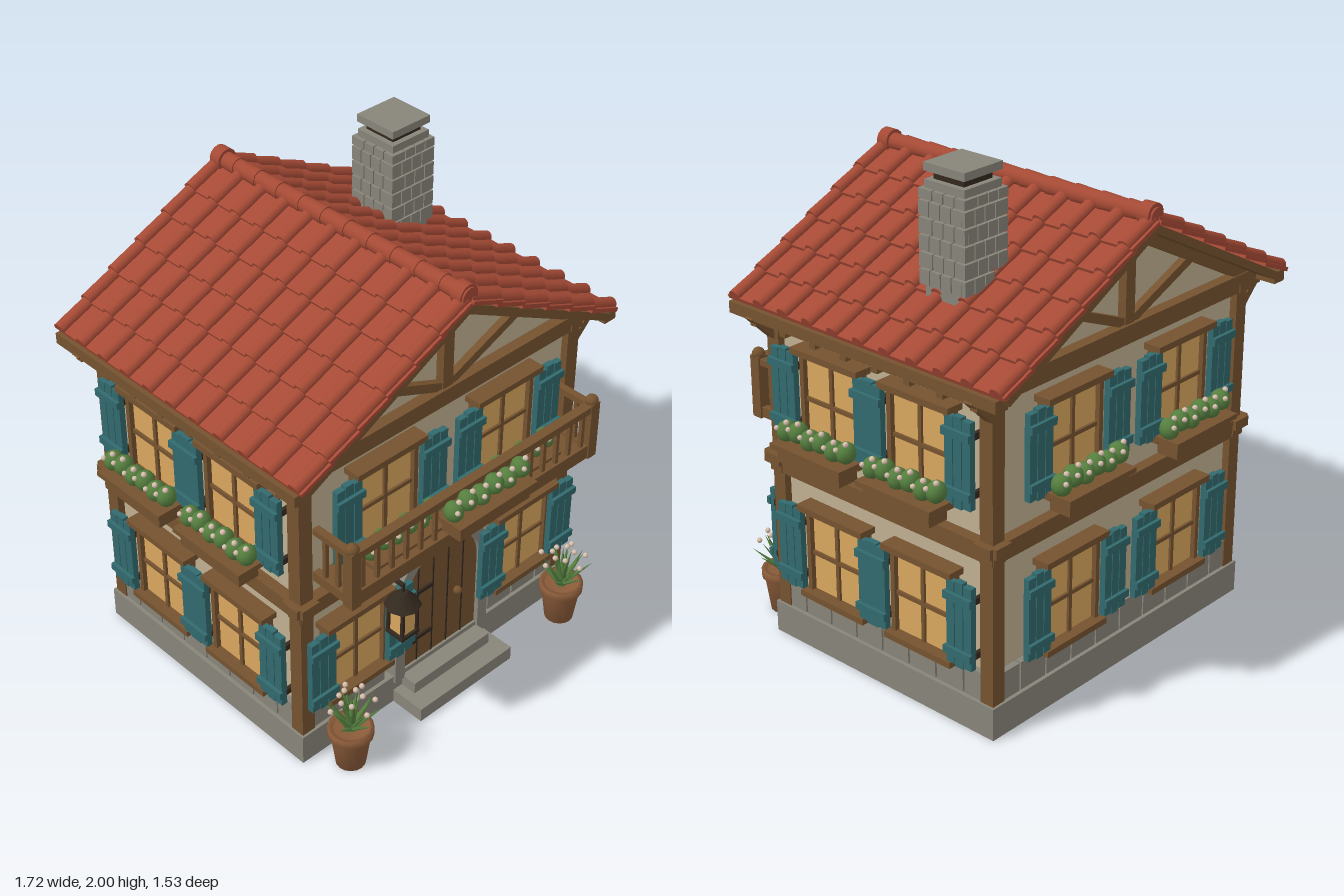
import * as THREE from 'three';

const material = (name, color) => Object.assign(new THREE.MeshStandardMaterial({ color }), { name });
const plaster = material('plaster', 0xc0b092), timber = material('timber', 0x76532f);
const tile = material('roof tile', 0xa54a35), stone = material('stone', 0x88857a);
const iron = material('dark iron', 0x33291f), glass = material('lit glass', 0xd9a75e);
const teal = material('teal paint', 0x326a6e), leaf = material('leaf', 0x557f3f);
const blossom = material('blossom', 0xd8bfae), clay = material('clay', 0x8c5c3a);

function add(parent, name, geometry, mat, x = 0, y = 0, z = 0) {
  const m = new THREE.Mesh(geometry, mat);
  m.name = name;
  m.position.set(x, y, z);
  parent.add(m);
  return m;
}
const box = (p, name, mat, w, h, d, x, y, z) => add(p, name, new THREE.BoxGeometry(w, h, d), mat, x, y, z);
const ball = (p, name, mat, r, x, y, z) => add(p, name, new THREE.SphereGeometry(r, 10, 8), mat, x, y, z);
const group = (p, name, x = 0, y = 0, z = 0, ry = 0) => {
  const g = new THREE.Group();
  g.name = name;
  g.position.set(x, y, z);
  g.rotation.y = ry;
  p.add(g);
  return g;
};
// Timber between two points of an xy plane
function beam(p, name, x1, y1, x2, y2, t, d, z) {
  const m = box(p, name, timber, Math.hypot(x2 - x1, y2 - y1), t, d, (x1 + x2) / 2, (y1 + y2) / 2, z);
  m.rotation.z = Math.atan2(y2 - y1, x2 - x1);
}

function shutter(p, x, y) {
  const g = group(p, 'shutter', x, y, 0.06);
  for (const i of [-1, 0, 1]) box(g, 'shutterPlank', teal, 0.037, i ? 0.33 : 0.345, 0.025, i * 0.041, 0, 0);
  for (const s of [-1, 1]) {
    box(g, 'shutterBatten', teal, 0.13, 0.03, 0.015, 0, s * 0.11, 0.019);
    box(g, 'shutterHinge', iron, 0.015, 0.025, 0.04, 0.055, s * 0.11, -0.03);
  }
}

function flowerBox(p, x, y, z, width) {
  const g = group(p, 'flowerBox', x, y, z);
  box(g, 'planter', timber, width - 0.04, 0.07, 0.09, 0, 0.035, 0);
  box(g, 'planterRim', timber, width, 0.02, 0.125, 0, 0.065, 0);
  const n = 6, step = (width + 0.01) / n;
  for (let i = 0; i < n; i++) {
    const u = (i - (n - 1) / 2) * step, h = 0.11 + 0.012 * (i % 2);
    ball(g, 'bush', leaf, 0.038, u, h, 0).scale.set(0.95, 1.1, 1.05);
    ball(g, 'flower', blossom, 0.011, u + 0.012, h + 0.04, 0.012);
    ball(g, 'flower', blossom, 0.01, u - 0.016, h + 0.018, 0.034);
  }
}

function windowUnit(p, x, y, offset, planted) {
  const g = group(p, 'window', x, y, 0);
  box(g, 'glass', glass, 0.27, 0.34, 0.03, 0, 0, 0.01);
  for (const s of [-1, 1]) {
    box(g, 'frameSide', timber, 0.02, 0.35, 0.05, s * 0.14, 0, 0.02);
    shutter(g, s * offset, 0.005);
  }
  box(g, 'mullion', timber, 0.016, 0.34, 0.03, 0, 0, 0.02);
  box(g, 'crossBar', timber, 0.27, 0.016, 0.03, 0, -0.01, 0.02);
  box(g, 'lintel', timber, 0.34, 0.025, 0.075, 0, 0.18, 0.035);
  box(g, 'sill', timber, 0.33, 0.025, 0.075, 0, -0.18, 0.035);
  if (planted) flowerBox(g, 0, -0.228, 0.115, 0.36);
}

// One wall: local z = 0 is the plaster face
function facade(p, name, half, x, z, ry, lower, upper, offset, doorway) {
  const g = group(p, name, x, 0, z, ry);
  for (const s of [-1, 1]) {
    windowUnit(g, s * lower, 0.43, doorway ? 0.195 : offset, false);
    windowUnit(g, s * upper, 1.063, offset, true);
  }
  const n = Math.round(half * 14.5), pitch = (2 * half) / n;
  for (let i = 0; i < n; i++) {
    const u = (i + 0.5) * pitch - half;
    if (!doorway || Math.abs(u) > 0.22) box(g, 'stoneBlock', stone, pitch - 0.008, 0.115, 0.05, u, 0.187, 0);
  }
  box(g, 'lowerBand', timber, 2 * half + 0.04, 0.035, 0.06, 0, 0.718, 0.005);
  box(g, 'upperBand', timber, 2 * half + 0.08, 0.04, 0.08, 0, 0.758, 0.005);
  box(g, 'topPlate', timber, 2 * half + 0.04, 0.035, 0.06, 0, 1.32, 0.005);
  return g;
}

function archShape(r, base, spring) {
  const s = new THREE.Shape();
  s.moveTo(-r, base);
  s.lineTo(r, base);
  s.lineTo(r, spring);
  s.absarc(0, spring, r, 0, Math.PI, false);
  s.closePath();
  return s;
}
const extrude = (shape, depth) => new THREE.ExtrudeGeometry(shape, { depth, bevelEnabled: false, curveSegments: 10 });

function door(p) {
  const g = group(p, 'entrance');
  const surround = archShape(0.25, 0.1, 0.475);
  surround.holes.push(archShape(0.2, 0.11, 0.475));
  add(g, 'doorArch', extrude(surround, 0.06), stone, 0, 0, -0.01);
  add(g, 'doorLeaf', extrude(archShape(0.2, 0.11, 0.475), 0.03), timber);
  for (const u of [-0.12, -0.04, 0.04, 0.12]) {
    const top = 0.475 + Math.sqrt(0.04 - u * u);
    box(g, 'plankJoint', iron, 0.006, top - 0.11, 0.004, u, (top + 0.11) / 2, 0.031);
  }
  for (const y of [0.25, 0.48]) {
    box(g, 'doorHinge', iron, 0.1, 0.016, 0.01, -0.1, y, 0.035);
    box(g, 'hingePlate', iron, 0.02, 0.04, 0.01, -0.14, y, 0.035);
  }
  ball(g, 'doorKnob', timber, 0.018, 0.085, 0.37, 0.045);
  box(g, 'lowerStep', stone, 0.5, 0.06, 0.2, 0, 0.03, 0.09);
  box(g, 'upperStep', stone, 0.41, 0.05, 0.12, 0, 0.085, 0.05);
}

function roof(p) {
  const g = group(p, 'roof', 0, 1.775, -0.073);
  const L = 0.88, angle = Math.atan2(0.405, 0.78), half = 0.672, rows = 6, pitch = 0.127, r = 0.026;
  // Cross-section of one tile course: flat pans with round rolls
  const course = new THREE.Shape();
  course.moveTo(-half, 0);
  course.lineTo(half, 0);
  course.lineTo(half, 0.016);
  for (let i = 5; i >= -5; i--) course.absarc(i * pitch, 0.016, r, 0, Math.PI, false);
  course.lineTo(-half, 0.016);
  const courseGeo = extrude(course, L / rows + 0.012).rotateY(Math.PI / 2);
  for (const ry of [0, Math.PI]) {
    const slope = group(group(g, 'roofSide', 0, 0, 0, ry), 'slope');
    slope.rotation.z = -angle;
    box(slope, 'roofDeck', timber, L - 0.015, 0.03, 2 * half - 0.02, L / 2 - 0.008, -0.015, 0);
    for (let i = 0; i < rows; i++)
      add(slope, 'tileCourse', courseGeo, tile, (i * L) / rows - (i ? 0.012 : 0), 0, 0).rotation.z = 0.085;
  }
  // Rounded ridge caps
  for (let i = -5; i <= 5; i++)
    add(g, 'ridgeTile', new THREE.CylinderGeometry(0.036, 0.031, 0.125, 14).rotateX(Math.PI / 2), tile, 0, 0.028, i * 0.119);
  for (const s of [-1, 1])
    add(g, 'ridgeEnd', new THREE.CylinderGeometry(0.044, 0.044, 0.05, 14).rotateX(Math.PI / 2), tile, 0, 0.03, s * 0.625);
}

function eavesAndGables(p) {
  for (const s of [-1, 1]) {
    box(p, 'eaveBeam', timber, 0.06, 0.045, 1.3, s * 0.775, 1.358, -0.07);
    for (let i = 0; i < 8; i++) box(p, 'rafterTail', timber, 0.12, 0.03, 0.03, s * 0.73, 1.322, 0.47 - i * 0.154);
    // Gable truss
    const z = s > 0 ? 0.47 : -0.6;
    box(p, 'tieBeam', timber, 1.6, 0.04, 0.07, 0, 1.36, z);
    box(p, 'kingPost', timber, 0.05, 0.37, 0.05, 0, 1.55, z);
    for (const m of [-1, 1]) {
      beam(p, 'gableStrut', m * 0.02, 1.385, m * 0.38, 1.535, 0.035, 0.04, z);
      beam(p, 'gableRafter', 0, 1.718, m * 0.76, 1.325, 0.04, 0.06, z);
      beam(p, 'cornerBrace', m * 0.69, 1.24, m * 0.8, 1.35, 0.03, 0.04, z);
      box(p, 'cornerPost', timber, 0.06, 1.22, 0.06, m * 0.68, 0.74, s > 0 ? 0.46 : -0.59);
    }
  }
}

function chimney(p) {
  const g = group(p, 'chimney', 0.443, 0, -0.243);
  box(g, 'chimneyCore', stone, 0.185, 0.43, 0.185, 0, 1.705, 0);
  for (let c = 0; c < 6; c++)
    for (let side = 0; side < 4; side++) {
      const face = group(g, 'brickFace', 0, 1.592 + c * 0.062, 0, (side * Math.PI) / 2);
      for (let i = 0; i < 4; i++)
        box(face, 'brick', stone, 0.046, c === 5 ? 0.035 : 0.055, 0.03, (i - 1.5) * 0.051 + (c % 2 ? 0.008 : -0.008), c === 5 ? -0.01 : 0, 0.093);
    }
  box(g, 'chimneyShoulder', stone, 0.185, 0.025, 0.185, 0, 1.927, 0);
  box(g, 'flueOpening', iron, 0.14, 0.04, 0.14, 0, 1.955, 0);
  box(g, 'chimneyCap', stone, 0.19, 0.03, 0.19, 0, 1.985, 0);
}

function balcony(p) {
  const g = group(p, 'balcony');
  box(g, 'balconyFloor', timber, 1.24, 0.03, 0.19, 0, 0.855, 0.57);
  box(g, 'frontJoist', timber, 1.27, 0.06, 0.035, 0, 0.868, 0.655);
  box(g, 'handRail', timber, 1.24, 0.03, 0.04, 0, 1.065, 0.655);
  for (let i = 0; i < 17; i++) box(g, 'baluster', timber, 0.016, 0.16, 0.016, (i - 8) * 0.071, 0.975, 0.655);
  for (const s of [-1, 1]) {
    const x = s * 0.615;
    box(g, 'balconyPost', timber, 0.045, 0.25, 0.045, x, 0.96, 0.655);
    ball(g, 'postBall', timber, 0.026, x, 1.09, 0.655);
    box(g, 'sideRail', timber, 0.03, 0.025, 0.18, x, 1.065, 0.56);
    box(g, 'sideJoist', timber, 0.03, 0.04, 0.18, x, 0.86, 0.56);
    for (const z of [0.52, 0.585]) box(g, 'sideBaluster', timber, 0.016, 0.18, 0.016, x, 0.97, z);
    // Support brackets
    const bracket = group(g, 'bracket', s * 0.455, 0, 0, -Math.PI / 2);
    beam(bracket, 'bracketStrut', 0.49, 0.73, 0.65, 0.835, 0.03, 0.035, 0);
    box(bracket, 'bracketPost', timber, 0.03, 0.12, 0.035, 0.485, 0.78, 0);
  }
  flowerBox(g, 0, 0.925, 0.705, 0.4);
}

function lantern(p) {
  const g = group(p, 'lantern', -0.335, 0, 0.625);
  box(g, 'lanternArm', iron, 0.014, 0.014, 0.16, 0, 0.735, -0.075);
  box(g, 'lanternHook', iron, 0.01, 0.05, 0.01, 0, 0.72, 0);
  add(g, 'lanternRoof', new THREE.CylinderGeometry(0.018, 0.07, 0.06, 8), iron, 0, 0.675, 0);
  box(g, 'lanternGlass', glass, 0.066, 0.12, 0.066, 0, 0.583, 0);
  box(g, 'lanternBase', iron, 0.088, 0.016, 0.088, 0, 0.517, 0);
  for (const x of [-1, 1]) for (const z of [-1, 1])
    box(g, 'lanternBar', iron, 0.012, 0.13, 0.012, x * 0.036, 0.585, z * 0.036);
}

function pottedPlant(p, x) {
  const g = group(p, 'pottedPlant', x, 0, 0.61);
  const profile = [[0, 0], [0.058, 0], [0.078, 0.145], [0.088, 0.145], [0.088, 0.178], [0.07, 0.178], [0.066, 0.16], [0, 0.16]];
  add(g, 'pot', new THREE.LatheGeometry(profile.map(([a, b]) => new THREE.Vector2(a, b)), 16), clay);
  // Pointed leaves fanning outward
  for (let i = 0; i < 18; i++) {
    const tilt = [0.85, 0.55, 0.25][i % 3], turn = group(g, 'leafTurn', 0, 0.165, 0, i * 1.21);
    const blade = add(turn, 'blade', new THREE.ConeGeometry(0.02, 0.16, 5).translate(0, 0.08, 0).scale(0.45, 1, 1), leaf);
    blade.rotation.z = -tilt;
    if (i % 3) ball(turn, 'plantFlower', blossom, 0.011, Math.sin(tilt) * 0.17, Math.cos(tilt) * 0.165, 0.015);
  }
}

export function createModel() {
  const house = new THREE.Group();
  house.name = 'house';
  // Plaster body with gables, on a stone plinth
  const body = new THREE.Shape([[-0.68, 0.1], [0.68, 0.1], [0.68, 1.382], [0, 1.735], [-0.68, 1.382]].map(([x, y]) => new THREE.Vector2(x, y)));
  add(house, 'walls', extrude(body, 1.05), plaster, 0, 0, -0.59);
  box(house, 'plinth', stone, 1.44, 0.13, 1.13, 0, 0.065, -0.065);
  const front = facade(house, 'frontWall', 0.7, 0, 0.46, 0, 0.443, 0.3, 0.21, true);
  facade(house, 'backWall', 0.7, 0, -0.59, Math.PI, 0.3, 0.3, 0.21, false);
  for (const s of [-1, 1])
    facade(house, s > 0 ? 'leftWall' : 'rightWall', 0.545, s * 0.68, -0.065, (s * Math.PI) / 2, 0.22, 0.22, 0.212, false);
  door(front);
  eavesAndGables(house);
  roof(house);
  chimney(house);
  balcony(house);
  lantern(house);
  for (const s of [-1, 1]) pottedPlant(house, s * 0.58);
  return house;
}
